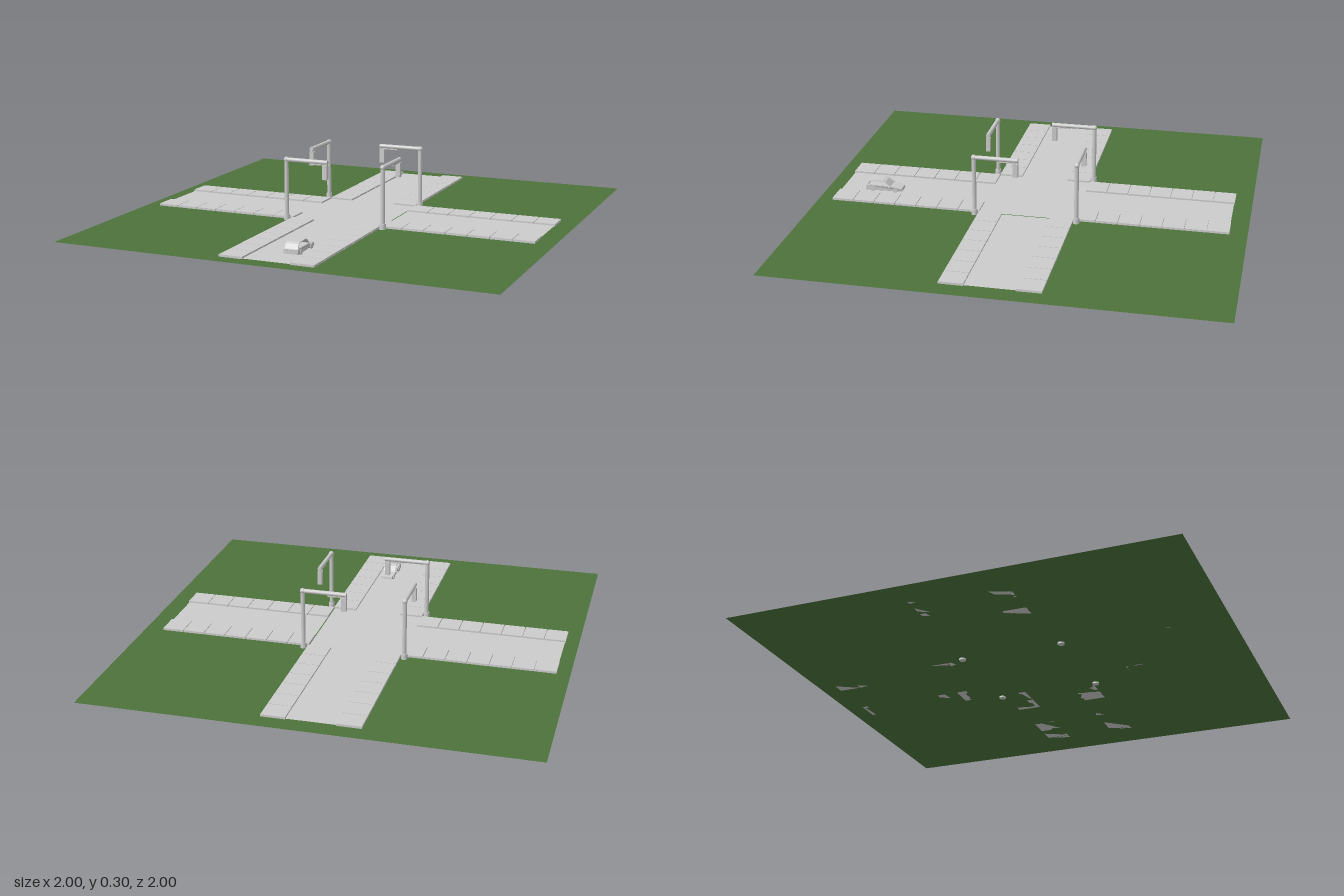
import * as THREE from 'three';

const grey = new THREE.MeshStandardMaterial({ color: 0xcccccc, side: THREE.DoubleSide });
const green = new THREE.MeshStandardMaterial({ color: 0x4c723b, side: THREE.DoubleSide });

function add(parent, name, geometry, x = 0, y = 0, z = 0, material = grey) {
  const mesh = new THREE.Mesh(geometry, material);
  mesh.name = name;
  mesh.position.set(x, y, z);
  parent.add(mesh);
  return mesh;
}

// Flat rectangle between two corners on the ground
function slab(parent, name, x0, x1, z0, z1, y, material = grey) {
  const g = new THREE.PlaneGeometry(x1 - x0, z1 - z0).rotateX(-Math.PI / 2);
  return add(parent, name, g, (x0 + x1) / 2, y, (z0 + z1) / 2, material);
}

// Post with a horizontal arm and a hanging signal at its tip
function makeTrafficLight() {
  const light = new THREE.Group();
  light.name = 'trafficLight';
  add(light, 'postBase', new THREE.CylinderGeometry(0.014, 0.016, 0.034, 12), 0, 0.017, 0);
  add(light, 'post', new THREE.CylinderGeometry(0.01, 0.01, 0.29, 12), 0, 0.147, 0);
  add(light, 'elbow', new THREE.SphereGeometry(0.0125, 12, 8), 0, 0.289, 0);
  add(light, 'arm', new THREE.CylinderGeometry(0.01, 0.01, 0.205, 12).rotateZ(Math.PI / 2), 0.1025, 0.289, 0);
  add(light, 'armBrace', new THREE.BoxGeometry(0.09, 0.006, 0.012), 0.16, 0.278, 0);
  add(light, 'signal', new THREE.BoxGeometry(0.022, 0.066, 0.02), 0.193, 0.243, 0);
  return light;
}

// Side profile in (z, y), extruded across x and narrowed towards the nose
function profileBody(points, width, hole) {
  const shape = new THREE.Shape(points.map(p => new THREE.Vector2(...p)));
  if (hole) shape.holes.push(new THREE.Path(hole.map(p => new THREE.Vector2(...p))));
  const g = new THREE.ExtrudeGeometry(shape, { depth: width, bevelEnabled: false });
  g.translate(0, 0, -width / 2).rotateY(-Math.PI / 2);
  const pos = g.attributes.position;
  for (let i = 0; i < pos.count; i++) {
    if (pos.getZ(i) < -0.06) pos.setX(i, pos.getX(i) * 0.8);
  }
  g.computeVertexNormals();
  return g;
}

function makeCar() {
  const car = new THREE.Group();
  car.name = 'car';
  add(car, 'body', profileBody([
    [0.087, 0.016], [0.088, 0.036], [0.08, 0.04], [-0.03, 0.04],
    [-0.055, 0.036], [-0.086, 0.03], [-0.088, 0.018], [-0.075, 0.016],
  ], 0.066));
  // Roof shell with open side windows
  add(car, 'cabin', profileBody([
    [0.084, 0.038], [0.072, 0.058], [0.06, 0.064], [0.005, 0.066], [-0.01, 0.061], [-0.034, 0.038],
  ], 0.06, [
    [0.077, 0.041], [0.068, 0.056], [0.059, 0.061], [0.005, 0.063], [-0.008, 0.058], [-0.026, 0.041],
  ]));
  for (const s of [-1, 1]) {
    add(car, 'mirror', new THREE.BoxGeometry(0.014, 0.006, 0.008), s * 0.039, 0.039, -0.028);
    for (const z of [-0.055, 0.055]) {
      const x = s * (z < 0 ? 0.027 : 0.029);
      add(car, 'wheel', new THREE.CylinderGeometry(0.012, 0.012, 0.01, 16).rotateZ(Math.PI / 2), x, 0.021, z);
    }
  }
  add(car, 'rearBumper', new THREE.BoxGeometry(0.066, 0.008, 0.006), 0, 0.022, 0.087);
  return car;
}

export function createModel() {
  const model = new THREE.Group();
  const groundY = 0.008, roadY = 0.0105;
  const west = -0.235, east = 0.2, north = -0.215, south = 0.225;
  const ends = { x: [-0.94, 0.915], z: [-0.92, 0.935] };

  slab(model, 'grass', -1, 1, -1, 1, groundY, green);

  // Roads, with a narrow seam on the east side of the crossing
  slab(model, 'mainRoad', west, east - 0.002, ends.z[0] + 0.004, ends.z[1] - 0.004, roadY);
  slab(model, 'westRoad', ends.x[0] + 0.004, west, north, south, roadY);
  slab(model, 'eastRoad', east + 0.003, ends.x[1] - 0.004, north, south, roadY);

  // Raised pavement tiles along both edges of every arm
  const walk = 0.108, count = 7, gap = 0.003, top = 0.018;
  const h = top - groundY;
  function pavement(axis, from, to, centre) {
    const pitch = (to - from) / count, length = Math.abs(pitch) - gap;
    const g = axis === 'x' ? new THREE.BoxGeometry(length, h, walk) : new THREE.BoxGeometry(walk, h, length);
    for (let i = 0; i < count; i++) {
      const along = from + pitch * (i + 0.5);
      const [x, z] = axis === 'x' ? [along, centre] : [centre, along];
      add(model, 'pavementTile', g, x, groundY + h / 2, z);
    }
  }
  for (const z of [north + walk / 2, south - walk / 2]) {
    pavement('x', west, ends.x[0], z);
    pavement('x', east, ends.x[1], z);
  }
  for (const x of [west + walk / 2, east - walk / 2]) {
    pavement('z', north, ends.z[0], x);
    pavement('z', south, ends.z[1], x);
  }

  // Four traffic lights turned around the crossing
  for (let i = 0; i < 4; i++) {
    const pivot = new THREE.Group();
    pivot.name = 'trafficLightCorner';
    pivot.position.set(-0.018, 0, 0.005);
    pivot.rotation.y = i * Math.PI / 2;
    const light = makeTrafficLight();
    light.position.set(-0.237, 0, 0.236);
    pivot.add(light);
    model.add(pivot);
  }

  const car = makeCar();
  car.position.set(0.037, 0, 0.723);
  model.add(car);
  return model;
}
